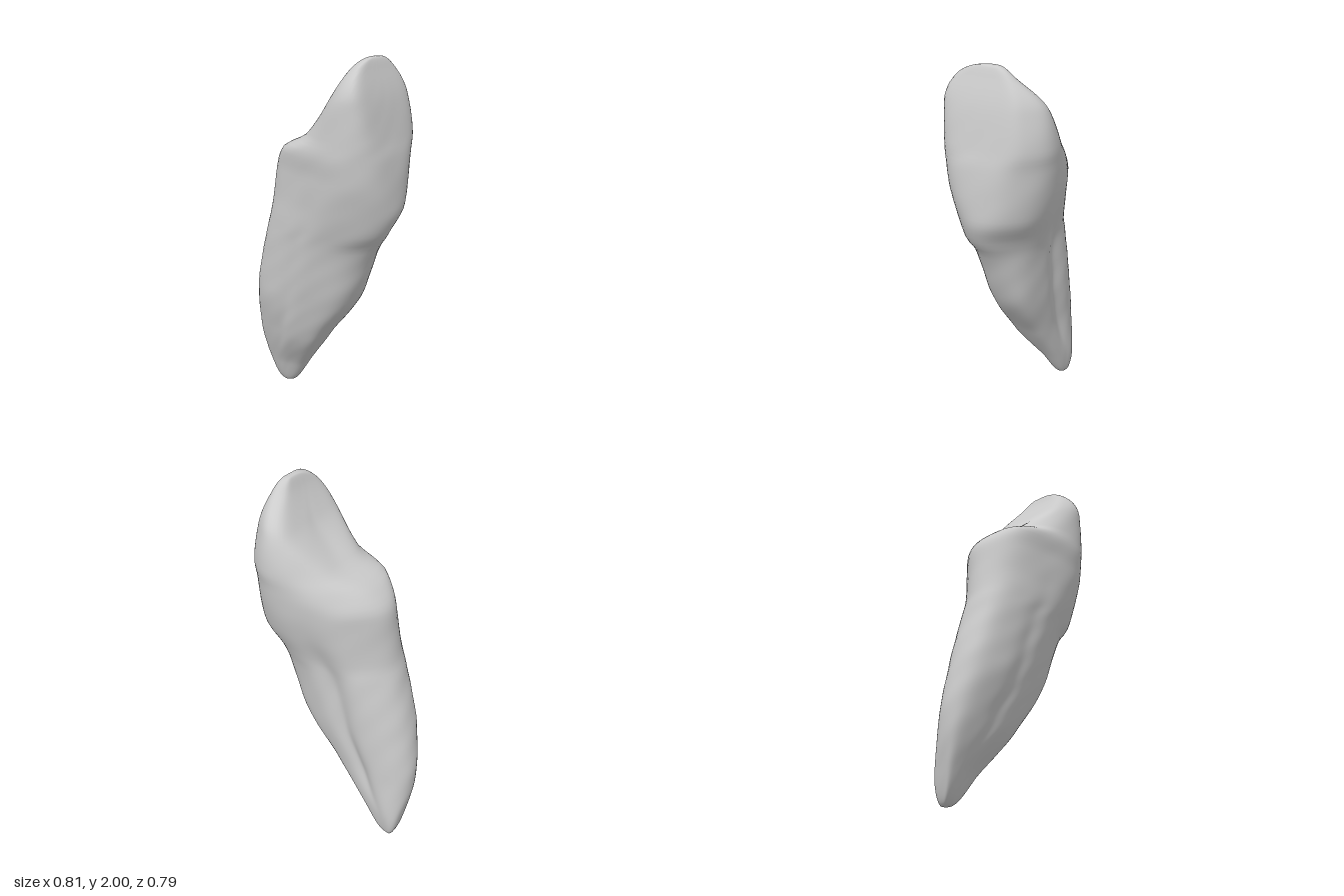
import * as THREE from 'three';

// Outline directions (x, z): across, depth, diagonal depth, diagonal width, front flank
const DIRS = [[1, 0], [0, 1], [0.707, 0.707], [0.819, -0.574], [-0.5, 0.866]];

// y, then min and max extent of the section along each direction
const SECTIONS = [
  [0.00, -0.24, -0.22, -0.36, -0.34, -0.42, -0.40, 0.00, 0.02, -0.20, -0.17],
  [0.15, -0.345, -0.115, -0.40, -0.205, -0.47, -0.25, -0.085, 0.06, -0.235, -0.085],
  [0.42, -0.395, 0.03, -0.39, 0.01, -0.505, -0.055, -0.17, 0.095, -0.225, 0.06],
  [0.70, -0.405, 0.18, -0.35, 0.155, -0.46, 0.155, -0.225, 0.15, -0.225, 0.14],
  [1.02, -0.355, 0.25, -0.29, 0.255, -0.375, 0.305, -0.23, 0.20, -0.23, 0.21],
  [1.11, -0.33, 0.285, -0.27, 0.31, -0.355, 0.37, -0.23, 0.23, -0.235, 0.235],
  [1.25, -0.305, 0.365, -0.265, 0.35, -0.335, 0.41, -0.225, 0.285, -0.25, 0.275],
  [1.40, -0.285, 0.385, -0.265, 0.385, -0.315, 0.405, -0.225, 0.33, -0.265, 0.31],
  [1.52, -0.26, 0.395, -0.22, 0.395, -0.22, 0.395, -0.235, 0.35, -0.275, 0.325],
  [1.60, -0.14, 0.405, -0.175, 0.40, -0.08, 0.38, -0.225, 0.365, -0.275, 0.33],
  [1.80, -0.04, 0.375, -0.08, 0.395, 0.13, 0.345, -0.21, 0.335, -0.25, 0.325],
  [1.95, 0.06, 0.295, 0.08, 0.335, 0.22, 0.30, -0.11, 0.20, -0.10, 0.25],
  [2.00, 0.18, 0.22, 0.15, 0.20, 0.25, 0.275, 0.03, 0.09, 0.03, 0.09],
];

// Height as a fraction of a half turn, which rounds off both tips
const turn = y => Math.acos(1 - y) / Math.PI;
const TURNS = SECTIONS.map(s => turn(s[0]));

// Monotone cubic interpolation of one column of the sections
function sample(u, col) {
  const n = SECTIONS.length;
  let i = 0;
  while (i < n - 2 && u > TURNS[i + 1]) i++;
  const slope = k => k < 0 || k > n - 2 ? null
    : (SECTIONS[k + 1][col] - SECTIONS[k][col]) / (TURNS[k + 1] - TURNS[k]);
  const tangent = k => {
    const a = slope(k - 1) ?? slope(k), b = slope(k) ?? slope(k - 1);
    return a * b <= 0 ? 0 : 2 * a * b / (a + b);
  };
  const h = TURNS[i + 1] - TURNS[i];
  const t = THREE.MathUtils.clamp((u - TURNS[i]) / h, 0, 1), s = 1 - t;
  return s * s * (1 + 2 * t) * SECTIONS[i][col] + t * t * (3 - 2 * t) * SECTIONS[i + 1][col]
    + t * s * s * h * tangent(i) - t * t * s * h * tangent(i + 1);
}

const bump = (d, width) => Math.exp(-((d / width) ** 2));
const angleTo = (a, b) => Math.atan2(Math.sin(a - b), Math.cos(a - b));

// Rounded outline that touches all the extents
function radius(angle, ext, cx, cz) {
  const dx = Math.cos(angle), dz = Math.sin(angle), k = 11;
  let sum = 0;
  DIRS.forEach(([nx, nz], i) => {
    const dot = dx * nx + dz * nz, c = cx * nx + cz * nz;
    const reach = dot > 0 ? ext[2 * i + 1] - c : c - ext[2 * i];
    sum += (Math.abs(dot) / Math.max(reach, 0.004)) ** k;
  });
  return sum ** (-1 / k);
}

// Long grooves down both flat flanks of the root, hollow behind the crown, faint ripples
function relief(angle, y) {
  const along = THREE.MathUtils.smoothstep(y, 0.1, 0.45) * (1 - THREE.MathUtils.smoothstep(y, 0.9, 1.4));
  const flank = -0.52 - 0.4 * y;
  const grooves = 0.2 * bump(angleTo(angle, flank), 0.36) + 0.08 * bump(angleTo(angle, 2.5), 0.35);
  const hollow = 0.08 * bump(angleTo(angle, -2.25), 0.5) * bump(y - 1.68, 0.13);
  const rough = 0.006 * Math.sin(23 * y + 3 * angle) * Math.sin(5 * angle + 11 * y) * (y < 1.1 ? 1 : 0.4);
  return 1.02 - along * grooves - hollow + rough;
}

export function createModel() {
  const RINGS = 110, SIDES = 80;
  const positions = [], crownFaces = [], rootFaces = [];

  for (let j = 0; j <= RINGS; j++) {
    // Rings are closer together towards both tips; the end rings close to a point
    const u = THREE.MathUtils.clamp((j - 1) / (RINGS - 2), 0, 1);
    const y = 1 - Math.cos(Math.PI * u);
    const ext = Array.from({ length: 2 * DIRS.length }, (_, c) => sample(u, c + 1));
    const cx = (ext[0] + ext[1]) / 2, cz = (ext[2] + ext[3]) / 2;
    for (let i = 0; i < SIDES; i++) {
      const a = i / SIDES * Math.PI * 2;
      const r = j === 0 || j === RINGS ? 0 : radius(a, ext, cx, cz) * relief(a, y);
      positions.push(cx + r * Math.cos(a), y, cz + r * Math.sin(a));
      if (j === RINGS) continue;
      // The gum line dips at the front and back and rises on the flanks
      const gumLine = 1.16 - 0.08 * Math.cos(2 * (a - Math.PI / 4));
      const i2 = (i + 1) % SIDES, p = j * SIDES, q = p + SIDES;
      (y >= gumLine ? crownFaces : rootFaces).push(p + i, q + i, p + i2, q + i, q + i2, p + i2);
    }
  }

  // Normals are found over the whole tooth so crown and root meet smoothly
  const whole = new THREE.BufferGeometry();
  whole.setAttribute('position', new THREE.Float32BufferAttribute(positions, 3));
  whole.setIndex([...rootFaces, ...crownFaces]);
  whole.computeVertexNormals();

  const material = new THREE.MeshStandardMaterial({ color: 0xcccccc });
  const group = new THREE.Group();
  group.name = 'tooth';
  for (const [name, faces] of [['root', rootFaces], ['crown', crownFaces]]) {
    const part = new THREE.BufferGeometry();
    part.setAttribute('position', whole.getAttribute('position'));
    part.setAttribute('normal', whole.getAttribute('normal'));
    part.setIndex(faces);
    const mesh = new THREE.Mesh(part, material);
    mesh.name = name;
    group.add(mesh);
  }
  return group;
}
